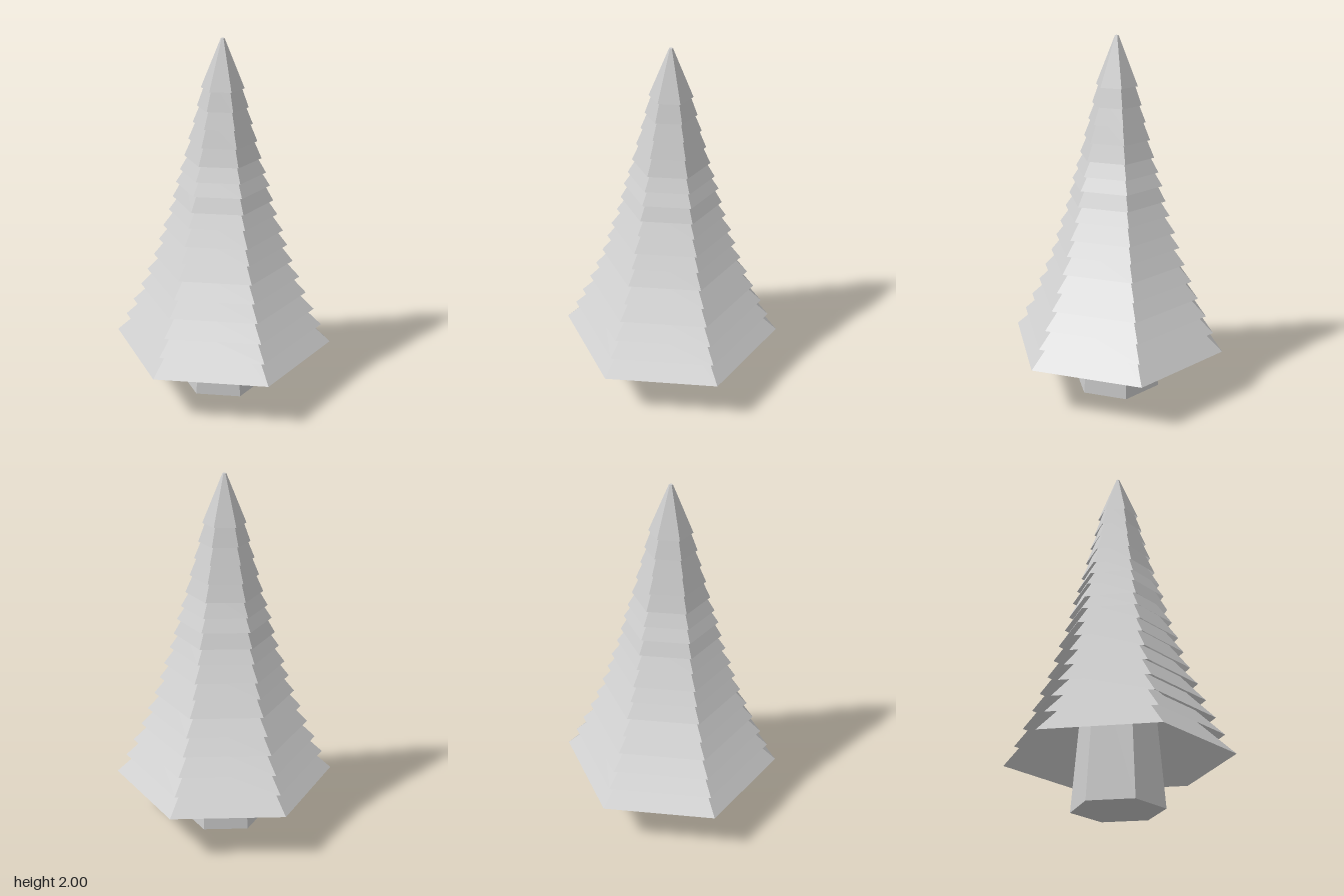
import * as THREE from 'three';

const SIDES = 6;
const TRUNK_TOP = 0.8;

// [height of the lower rim, corner radius of the rim], lowest tier first
const TIERS = [
  [0.27, 0.617], [0.376, 0.563], [0.472, 0.519], [0.572, 0.471], [0.668, 0.432], [0.763, 0.392],
  [0.858, 0.36], [0.943, 0.334], [1.038, 0.301], [1.118, 0.277], [1.203, 0.258], [1.277, 0.235],
  [1.357, 0.21], [1.452, 0.186], [1.547, 0.161], [1.637, 0.138], [1.738, 0.116],
];

export function createModel() {
  const tree = new THREE.Group();
  tree.name = 'tree';
  const material = new THREE.MeshStandardMaterial({
    color: 0xcccccc, flatShading: true, side: THREE.DoubleSide,
  });

  // Tapered six-sided shell from a profile of [radius, height] pairs
  const addShell = (name, profile) => {
    const points = profile.map(([r, y]) => new THREE.Vector2(r, y));
    const mesh = new THREE.Mesh(new THREE.LatheGeometry(points, SIDES), material);
    mesh.name = name;
    tree.add(mesh);
  };

  // Trunk with a closed foot, running up inside the branches
  addShell('trunk', [[0, 0], [0.25, 0], [0.25 - 0.085 * TRUNK_TOP, TRUNK_TOP]]);

  // Hollow skirts, each tucked under the overhanging rim of the next
  const last = TIERS.length - 1;
  for (let i = 0; i < last; i++) {
    const [y, r] = TIERS[i];
    const [nextY, nextR] = TIERS[i + 1];
    const overhang = THREE.MathUtils.lerp(0.06, 0.014, Math.min(1, i / 13));
    // the lowest skirt reaches all the way in to the trunk
    const reach = i === 0 ? 3.5 : 1.5;
    addShell(`branchTier${i + 1}`, [
      [r, y],
      [r - (r - nextR + overhang) * reach, y + (nextY - y) * reach],
    ]);
  }

  // Pointed crown with a tiny flat tip
  const [crownY, crownR] = TIERS[last];
  addShell('crown', [[crownR, crownY], [0.01, 2], [0, 2]]);

  return tree;
}
